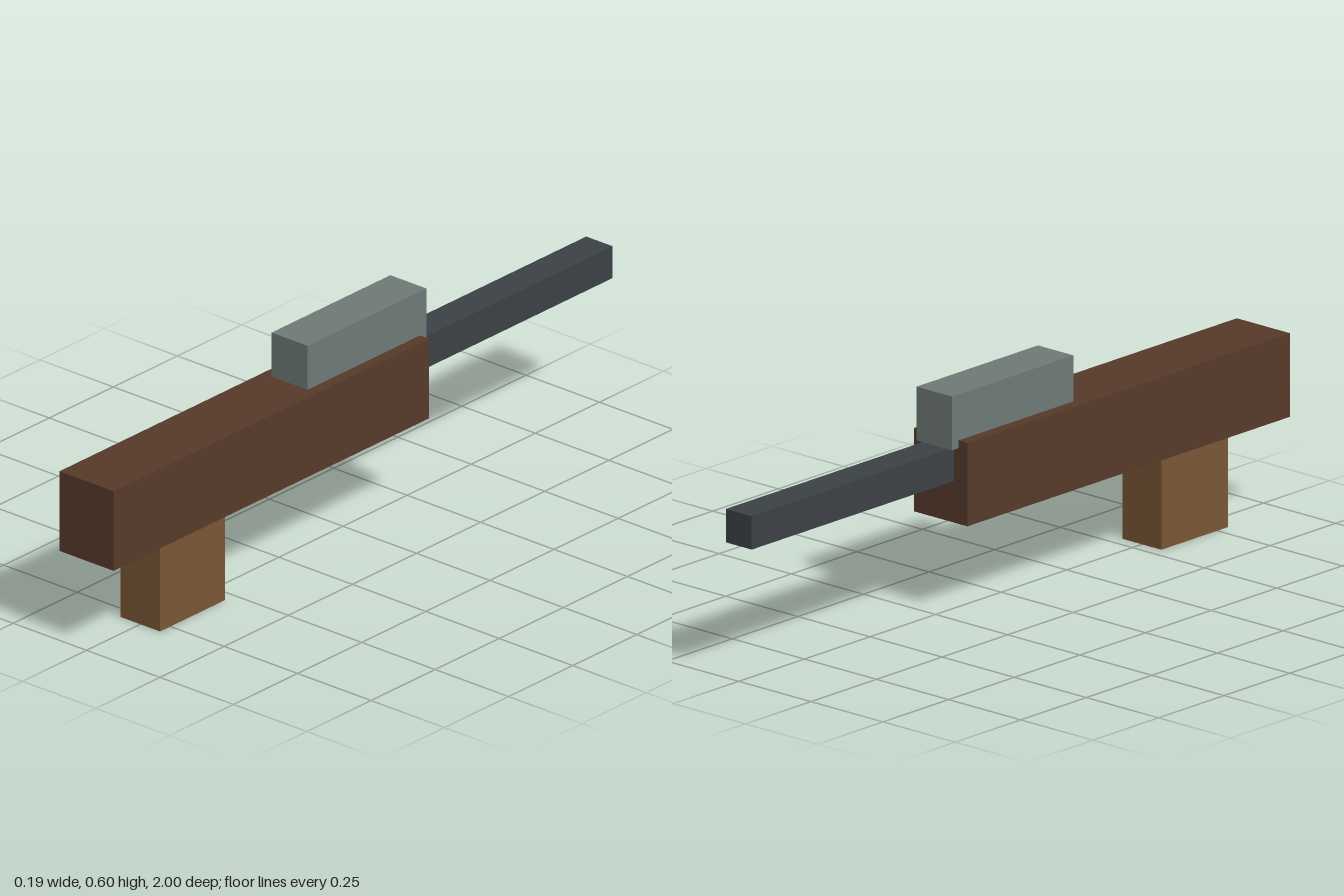
import * as THREE from 'three';

function mat(name, color) {
  const m = new THREE.MeshStandardMaterial({ color });
  m.name = name;
  return m;
}

export function createModel() {
  const group = new THREE.Group();
  const darkWood = mat('dark wood', 0x573a2b);
  const lightWood = mat('light wood', 0x7a5635);
  const greyMetal = mat('grey metal', 0x6e7a77);
  const darkMetal = mat('dark metal', 0x3c4147);

  // Box centred on x = 0, given its width and its y and z limits
  function addBox(name, material, width, y0, y1, z0, z1) {
    const mesh = new THREE.Mesh(new THREE.BoxGeometry(width, y1 - y0, z1 - z0), material);
    mesh.position.set(0, (y0 + y1) / 2, (z0 + z1) / 2);
    mesh.name = name;
    group.add(mesh);
  }

  // Long body with a handle below, a block on top and a bar at the back
  addBox('body', darkWood, 0.185, 0.253, 0.478, -0.23, 1);
  addBox('handle', lightWood, 0.134, 0, 0.27, 0.537, 0.79);
  addBox('topBlock', greyMetal, 0.123, 0.457, 0.602, -0.255, 0.208);
  addBox('barrel', darkMetal, 0.09, 0.365, 0.455, -1, -0.2);

  return group;
}
